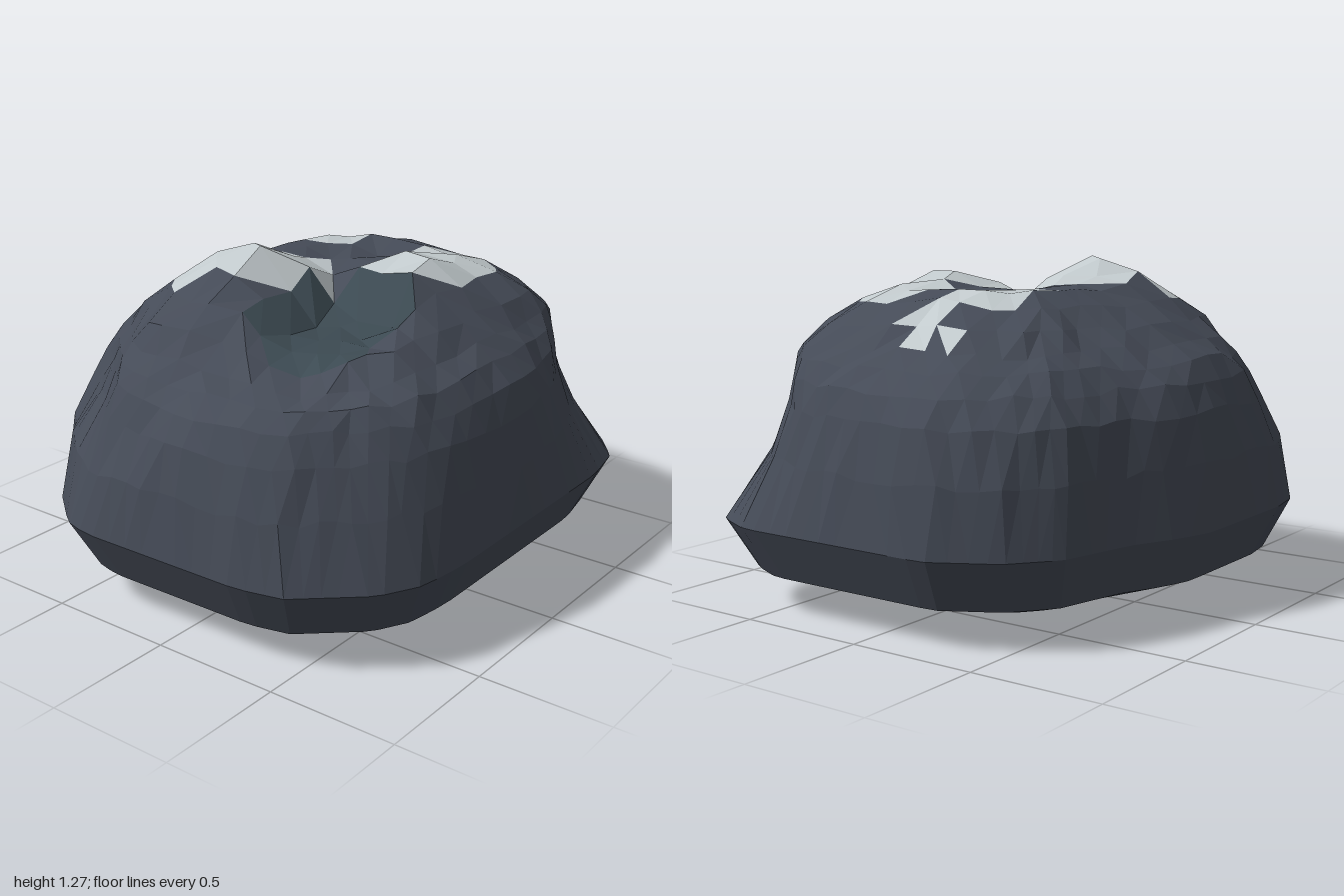
import * as THREE from 'three';

// Widest outline of the boulder, as [x, z], going from +x towards +z
const outline = [
  [0.85, -0.58], [0.855, 0.4], [0.83, 0.6], [0.75, 0.75], [0.52, 0.95], [0.35, 0.99], [-0.35, 1],
  [-0.47, 0.97], [-0.65, 0.83], [-0.83, 0.62], [-0.86, 0.45], [-0.86, -0.08], [-0.82, -0.22],
  [-0.735, -0.4], [-0.66, -0.71], [-0.53, -0.87], [-0.3, -1], [0.52, -1], [0.7, -0.92], [0.81, -0.78],
];

// Dome profile: outline scale and height for each ring, from centre to rim
const scales = [0, 0.14, 0.28, 0.42, 0.54, 0.65, 0.75, 0.84, 0.91, 0.955, 0.985, 1];
const heights = [1.16, 1.16, 1.17, 1.16, 1.11, 1.04, 0.97, 0.92, 0.85, 0.75, 0.57, 0.33];
const N = scales.length - 1;

// Corners that step in above a flaring foot: direction, spread, and scales of rings 4 to 10
const corners = [
  { angle: -0.84, spread: 0.4, scales: [0.56, 0.67, 0.74, 0.76, 0.77, 0.78, 0.85] },
  { angle: 2.2, spread: 0.45, scales: [0.58, 0.68, 0.74, 0.78, 0.8, 0.84, 0.95] },
  { angle: 0.84, spread: 0.35, scales: [0.54, 0.65, 0.75, 0.82, 0.85, 0.89, 0.94] },
  { angle: -2.25, spread: 0.3, scales: [0.54, 0.65, 0.74, 0.81, 0.88, 0.95, 0.985] },
];

// Creases where the front lobe meets the dome
const creases = [
  [[-0.46, 0.95], [-0.2, 0.9], [0, 0.78], [0.2, 0.66], [0.5, 0.57]],
  [[-0.72, 0.42], [-0.5, 0.6], [-0.22, 0.85]],
];

// Pale patches on the crests
const patches = [
  [[-0.2, -0.69], [0, -0.72], [0.08, -0.6], [-0.03, -0.57], [0.04, -0.45], [-0.1, -0.43], [-0.2, -0.2],
    [-0.28, -0.21], [-0.26, -0.5], [-0.1, -0.58]],
  [[0.2, -0.53], [0.47, -0.43], [0.42, -0.02], [0.05, 0], [0.08, -0.13], [0.2, -0.2], [0.12, -0.32]],
  [[-0.28, 0.08], [-0.08, -0.06], [0.02, 0], [0.06, 0.13], [-0.01, 0.35], [-0.4, 0.49], [-0.43, 0.3]],
];

// Distance from the axis to the outline in direction (dx, dz)
function reach(dx, dz) {
  for (let i = 0; i < outline.length; i++) {
    const a = outline[i], b = outline[(i + 1) % outline.length];
    const ex = b[0] - a[0], ez = b[1] - a[1];
    const det = dx * ez - dz * ex;
    const t = (a[0] * ez - a[1] * ex) / det;
    const w = (a[0] * dz - a[1] * dx) / det;
    if (t > 0 && w >= -1e-6 && w <= 1 + 1e-6) return t;
  }
  return 0.9;
}

function segmentDistance(x, z, a, b) {
  const ex = b[0] - a[0], ez = b[1] - a[1];
  const t = THREE.MathUtils.clamp(((x - a[0]) * ex + (z - a[1]) * ez) / (ex * ex + ez * ez), 0, 1);
  return Math.hypot(x - a[0] - t * ex, z - a[1] - t * ez);
}

function inside(x, z, poly) {
  let hit = false;
  poly.forEach((a, i) => {
    const b = poly[(i + 1) % poly.length];
    if ((a[1] > z) !== (b[1] > z) && x < a[0] + (b[0] - a[0]) * (z - a[1]) / (b[1] - a[1])) hit = !hit;
  });
  return hit;
}

const bump = (x, z, cx, cz, r) => Math.exp(-((x - cx) ** 2 + (z - cz) ** 2) / (r * r));
const craterDistance = (x, z) => Math.hypot((x - 0.23) / 0.25, (z - 0.31) / 0.31);

let seed = 7;
const jitter = (size) => {
  seed = (seed * 16807) % 2147483647;
  return (seed / 2147483647 - 0.5) * size;
};

// Scale of a ring in a given direction, after the corners step in
function ringScale(ring, angle) {
  let s = scales[ring];
  if (ring < 4 || ring === N) return s;
  for (const c of corners) {
    const away = Math.atan2(Math.sin(angle - c.angle), Math.cos(angle - c.angle));
    s += (c.scales[ring - 4] - scales[ring]) * Math.exp(-((away / c.spread) ** 2));
  }
  return s;
}

// One vertex of the upper rock from grid position (u, v)
function domePoint(u, v) {
  const ring = Math.max(Math.abs(u), Math.abs(v));
  if (ring === 0) return new THREE.Vector3(0, 1.12, 0);
  const length = Math.hypot(u * 0.86, v);
  const dx = u * 0.86 / length, dz = v / length;
  const r = reach(dx, dz) * ringScale(ring, Math.atan2(dz, dx));
  let x = dx * r, z = dz * r, y = heights[ring];
  if (ring === N) return new THREE.Vector3(x, y, z);

  // peaks and hollows
  y += 0.09 * bump(x, z, -0.08, 0.24, 0.16) + 0.05 * bump(x, z, -0.28, 0.3, 0.15)
    + 0.06 * bump(x, z, 0.3, -0.1, 0.17) + 0.03 * bump(x, z, 0, -0.55, 0.2)
    - 0.05 * bump(x, z, 0.03, -0.25, 0.12) - 0.06 * bump(x, z, 0.3, 0.62, 0.18);
  // crater opening towards the front left
  const wall = THREE.MathUtils.smoothstep(craterDistance(x, z), 0.7, 1.15);
  y = Math.min(y, THREE.MathUtils.lerp(1.01, y, wall));
  // lobe creases
  let nearest = 9;
  for (const line of creases)
    for (let i = 0; i + 1 < line.length; i++)
      nearest = Math.min(nearest, segmentDistance(x, z, line[i], line[i + 1]));
  const dent = 0.02 * Math.exp(-((nearest / 0.07) ** 2));
  const rough = ring < 6 ? 0.035 : 0.015;
  x = x * (1 - dent) + jitter(rough);
  z = z * (1 - dent) + jitter(rough);
  y += jitter(0.025) - dent;
  return new THREE.Vector3(x, y, z);
}

function facetMesh(name, triangles, color) {
  const geometry = new THREE.BufferGeometry().setFromPoints(triangles);
  geometry.computeVertexNormals();
  const mesh = new THREE.Mesh(geometry, new THREE.MeshStandardMaterial({ color, flatShading: true }));
  mesh.name = name;
  return mesh;
}

export function createModel() {
  const rock = [], crater = [], crest = [], base = [];

  // Upper rock: a square grid wrapped onto the outline
  const grid = [];
  for (let u = -N; u <= N; u++) {
    grid.push([]);
    for (let v = -N; v <= N; v++) grid[u + N].push(domePoint(u, v));
  }
  const addFace = (...tri) => {
    const x = (tri[0].x + tri[1].x + tri[2].x) / 3, z = (tri[0].z + tri[1].z + tri[2].z) / 3;
    const target = patches.some((p) => inside(x, z, p)) ? crest : craterDistance(x, z) < 1 ? crater : rock;
    target.push(...tri);
  };
  for (let i = 0; i < 2 * N; i++) {
    for (let j = 0; j < 2 * N; j++) {
      const a = grid[i][j], b = grid[i][j + 1], c = grid[i + 1][j + 1], d = grid[i + 1][j];
      if ((i < N) === (j < N)) {
        addFace(a, b, c);
        addFace(a, c, d);
      } else {
        addFace(a, b, d);
        addFace(b, c, d);
      }
    }
  }

  // Underside: rings below the rim closing to a shallow point
  const M = 2 * N, sides = [[], [], [], []];
  for (let i = 0; i < M; i++) {
    sides[0].push(grid[M][i]);
    sides[1].push(grid[M - i][M]);
    sides[2].push(grid[0][M - i]);
    sides[3].push(grid[i][0]);
  }
  const rim = sides.flat();
  const levels = [[1, 0.33], [0.9, 0.14], [0.53, 0.03], [0, 0]];
  const rings = levels.map(([s, y]) => rim.map((p) => new THREE.Vector3(p.x * s, y, p.z * s)));
  for (let k = 0; k + 1 < rings.length; k++) {
    const up = rings[k], low = rings[k + 1];
    for (let i = 0; i < rim.length; i++) {
      const n = (i + 1) % rim.length;
      base.push(low[i], up[i], up[n]);
      if (k < 2) base.push(low[i], up[n], low[n]);
    }
  }

  const group = new THREE.Group();
  group.name = 'boulder';
  group.add(
    facetMesh('upperRock', rock, 0x454b57),
    facetMesh('underside', base, 0x454b57),
    facetMesh('crater', crater, 0x3c4a52),
    facetMesh('paleCrests', crest, 0xc2cacd),
  );
  return group;
}
